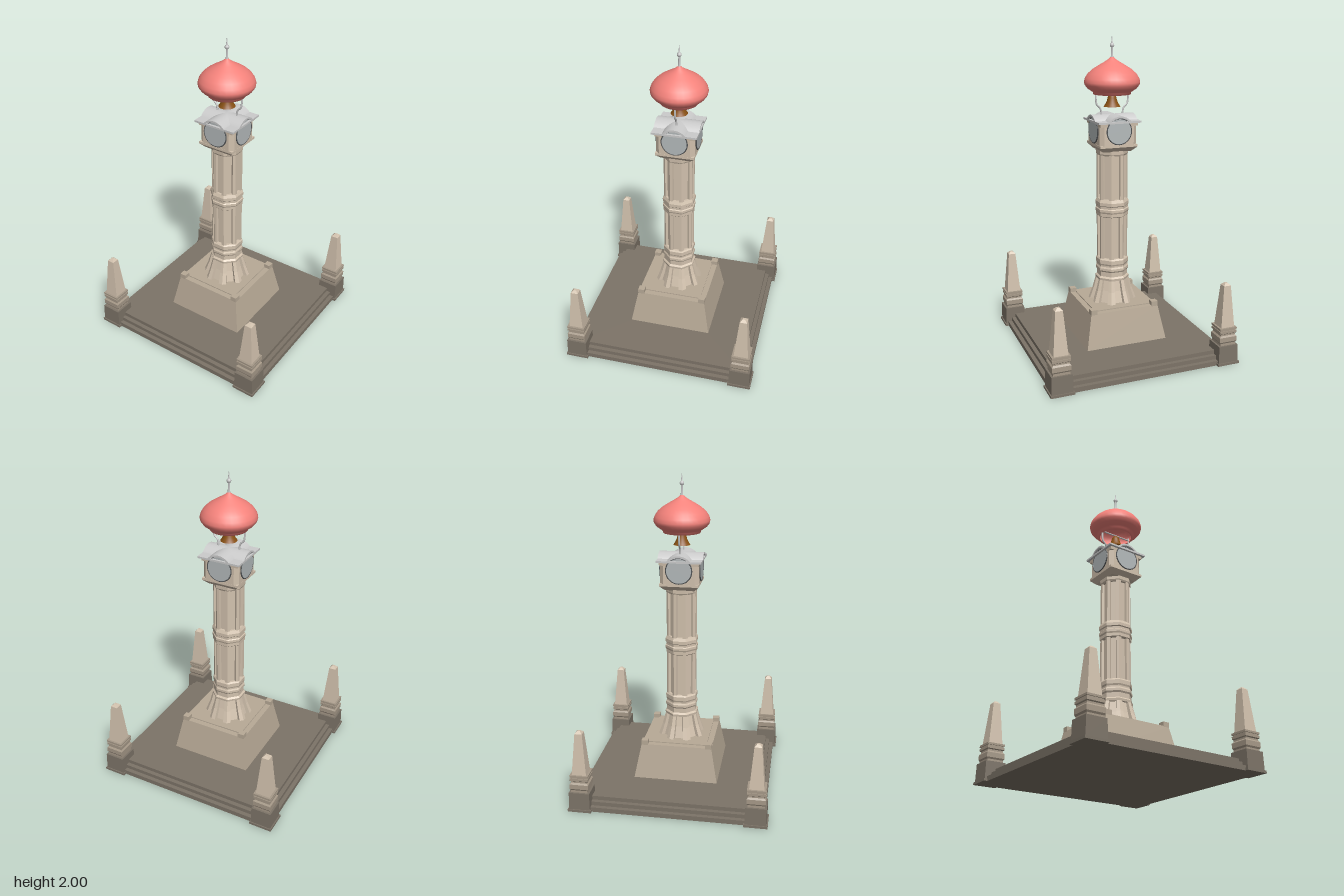
import * as THREE from 'three';

const mat = (color, flat = true, side = THREE.FrontSide) =>
  new THREE.MeshStandardMaterial({ color, flatShading: flat, side });
const STONE = mat(0xd2c2ae), PLINTH = mat(0xb8aa97), BASE = mat(0x7d7468), BAND = mat(0xa79a89);
const GREY = mat(0xcccccc, false), SLATE = mat(0xcccccc), DIAL = mat(0xb4babb), TRIM = mat(0x55585a);
const RED = mat(0xf4827b, false, THREE.DoubleSide), BRONZE = mat(0x8a5214, false, THREE.DoubleSide);

// Outlines run anticlockwise seen from above, as [x, z]
const SQUARE = [[1, 1], [1, -1], [-1, -1], [-1, 1]];
const CHAMFERED = [[1, 0.8], [1, -0.8], [0.8, -1], [-0.8, -1], [-1, -0.8], [-1, 0.8], [-0.8, 1], [0.8, 1]];
function octagonal(face) {
  const out = [];
  for (let k = 0; k < 8; k++) {
    const c = Math.cos(k * Math.PI / 4), s = Math.sin(k * Math.PI / 4);
    face.forEach(([d, t]) => out.push([c * d - s * t, -(s * d + c * t)]));
  }
  return out;
}
const T = Math.tan(Math.PI / 8);
const OCTAGON = octagonal([[1, -T]]);
const FLUTED = octagonal([[1, -T], [1, -0.22], [0.83, -0.18], [0.83, 0.18], [1, 0.22]]);

// Stack scaled copies of an outline at [y, scale] levels and close both ends
function loft(outline, levels) {
  const pos = [], n = outline.length;
  const at = (l, i) => [outline[i % n][0] * l[1], l[0], outline[i % n][1] * l[1]];
  const first = levels[0], last = levels[levels.length - 1];
  for (let i = 0; i < n; i++) {
    for (let j = 0; j < levels.length - 1; j++) {
      const a = at(levels[j], i), b = at(levels[j], i + 1);
      const c = at(levels[j + 1], i + 1), d = at(levels[j + 1], i);
      pos.push(...a, ...b, ...c, ...a, ...c, ...d);
    }
    pos.push(0, last[0], 0, ...at(last, i), ...at(last, i + 1));
    pos.push(0, first[0], 0, ...at(first, i + 1), ...at(first, i));
  }
  const g = new THREE.BufferGeometry();
  g.setAttribute('position', new THREE.Float32BufferAttribute(pos, 3));
  g.computeVertexNormals();
  return g;
}

function add(parent, name, geometry, material, x = 0, y = 0, z = 0) {
  const m = new THREE.Mesh(geometry, material);
  m.name = name;
  m.position.set(x, y, z);
  parent.add(m);
  return m;
}

const lathe = (pts, seg) => new THREE.LatheGeometry(pts.map(p => new THREE.Vector2(...p)), seg);

function cornerObelisk() {
  const g = new THREE.Group();
  g.name = 'cornerObelisk';
  add(g, 'obeliskPedestal', loft(SQUARE, [[0, 0.073], [0.015, 0.073], [0.015, 0.066], [0.125, 0.064]]), BASE);
  add(g, 'obeliskMouldings', loft(SQUARE, [[0.125, 0.052], [0.14, 0.052], [0.15, 0.058], [0.18, 0.058],
    [0.19, 0.05], [0.2, 0.05], [0.205, 0.056], [0.22, 0.056], [0.22, 0.051], [0.228, 0.051],
    [0.228, 0.057], [0.24, 0.057]]), BAND);
  add(g, 'obeliskShaft', loft(SQUARE, [[0.24, 0.045], [0.505, 0.023], [0.52, 0.008]]), STONE);
  return g;
}

// Arched hood strip and its infill, shaped in the front plane
function hoodShape() {
  const s = new THREE.Shape(), cy = 1.425, ro = 0.095, ri = 0.083;
  const ao = Math.asin(0.062 / ro), ai = Math.asin(0.05 / ri);
  s.moveTo(-0.14, 1.475);
  s.lineTo(-0.14, 1.487);
  s.absarc(0, cy, ro, Math.PI - ao, ao, true);
  s.lineTo(0.14, 1.487);
  s.lineTo(0.14, 1.475);
  s.absarc(0, cy, ri, ai, Math.PI - ai, false);
  return s;
}
function gableShape() {
  const s = new THREE.Shape();
  s.absarc(0, 1.425, 0.086, 0, Math.PI, false);
  return s;
}
const extrude = (shape, half) => new THREE.ExtrudeGeometry(shape,
  { depth: half * 2, bevelEnabled: false, curveSegments: 14 }).translate(0, 0, -half);

export function createModel() {
  const model = new THREE.Group();
  model.name = 'clockTower';

  // Stepped platform with an obelisk on each corner
  add(model, 'platformSteps', loft(SQUARE, [[0, 0.592], [0.03, 0.592], [0.03, 0.566], [0.055, 0.566],
    [0.055, 0.54], [0.08, 0.54]]), BASE);
  for (const x of [-0.54, 0.54]) for (const z of [-0.54, 0.54]) {
    const o = cornerObelisk();
    o.position.set(x, 0, z);
    model.add(o);
  }

  // Sloping plinth with corner blocks
  add(model, 'plinth', loft(SQUARE, [[0.08, 0.268], [0.3, 0.226]]), PLINTH);
  add(model, 'plinthSlab', loft(SQUARE, [[0.29, 0.19], [0.306, 0.19]]), PLINTH);
  for (const x of [-0.206, 0.206]) for (const z of [-0.206, 0.206])
    add(model, 'plinthCornerBlock', new THREE.BoxGeometry(0.042, 0.035, 0.042), PLINTH, x, 0.309, z);

  // Fluted octagonal pillar with a flared foot
  add(model, 'pillarFoot', loft(FLUTED, [[0.3, 0.145], [0.38, 0.118], [0.455, 0.099]]), STONE);
  add(model, 'pillarShaft', loft(FLUTED, [[0.45, 0.091], [1.29, 0.091]]), STONE);
  const bands = [
    [[0.45, 0.1], [0.465, 0.102], [0.475, 0.092], [0.505, 0.092], [0.515, 0.098], [0.53, 0.098], [0.54, 0.093],
      [0.55, 0.093], [0.56, 0.097], [0.585, 0.097], [0.595, 0.09]],
    [[0.87, 0.09], [0.875, 0.095], [0.895, 0.095], [0.905, 0.099], [0.92, 0.099], [0.925, 0.094],
      [0.94, 0.094], [0.945, 0.099], [0.965, 0.099], [0.985, 0.09]],
    [[1.265, 0.089], [1.275, 0.094], [1.3, 0.095]],
  ];
  bands.forEach(b => add(model, 'pillarBand', loft(OCTAGON, b), STONE));

  // Clock head
  add(model, 'headCorbel', loft(SQUARE, [[1.295, 0.092], [1.325, 0.122], [1.34, 0.122]]), STONE);
  add(model, 'headBody', loft(CHAMFERED, [[1.34, 0.121], [1.46, 0.121]]), STONE);
  add(model, 'headCornice', loft(SQUARE, [[1.455, 0.122], [1.477, 0.124]]), STONE);
  const hood = extrude(hoodShape(), 0.14), gable = extrude(gableShape(), 0.12);
  const dial = new THREE.CylinderGeometry(0.08, 0.08, 0.01, 32).rotateX(Math.PI / 2);
  const ring = new THREE.TorusGeometry(0.08, 0.004, 6, 32);
  for (let k = 0; k < 4; k++) {
    const side = new THREE.Group();
    side.name = 'clockSide';
    side.rotation.y = k * Math.PI / 2;
    if (k < 2) {
      add(side, 'roofVault', hood, SLATE);
      add(side, 'gableInfill', gable, STONE);
    }
    add(side, 'clockDial', dial, DIAL, 0, 1.425, 0.121);
    add(side, 'dialRim', ring, TRIM, 0, 1.425, 0.124);
    model.add(side);
  }

  // Bent posts carrying the dome
  for (const s of [-1, 1]) {
    const path = new THREE.CatmullRomCurve3([[0.072, 1.48], [0.072, 1.535], [0.08, 1.56], [0.1, 1.58],
      [0.106, 1.605], [0.106, 1.67]].map(([x, y]) => new THREE.Vector3(s * x, y, 0)));
    add(model, 'domePost', new THREE.TubeGeometry(path, 24, 0.006, 8), GREY);
  }
  add(model, 'bellBar', new THREE.CylinderGeometry(0.005, 0.005, 0.22, 8).rotateZ(Math.PI / 2), GREY, 0, 1.655, 0);

  // Bell with clapper
  add(model, 'bell', lathe([[0.052, 1.565], [0.045, 1.575], [0.034, 1.595], [0.027, 1.62], [0.022, 1.638],
    [0.01, 1.65], [0, 1.652]], 24), BRONZE);
  add(model, 'bellClapper', new THREE.SphereGeometry(0.01, 10, 8), BRONZE, 0, 1.572, 0);

  // Hollow dome and finial
  add(model, 'domeRim', lathe([[0.105, 1.642], [0.116, 1.642], [0.118, 1.655], [0.13, 1.663]], 32), RED);
  add(model, 'dome', lathe([[0.13, 1.663], [0.155, 1.68], [0.17, 1.7], [0.174, 1.718], [0.167, 1.742],
    [0.148, 1.77], [0.12, 1.795], [0.085, 1.817], [0.052, 1.836], [0.025, 1.853], [0, 1.875]], 32), RED);
  add(model, 'finial', lathe([[0.012, 1.85], [0.007, 1.875], [0.006, 1.925], [0.012, 1.93], [0.014, 1.938],
    [0.012, 1.946], [0.005, 1.952], [0.004, 1.97], [0, 2]], 12), GREY);
  return model;
}
